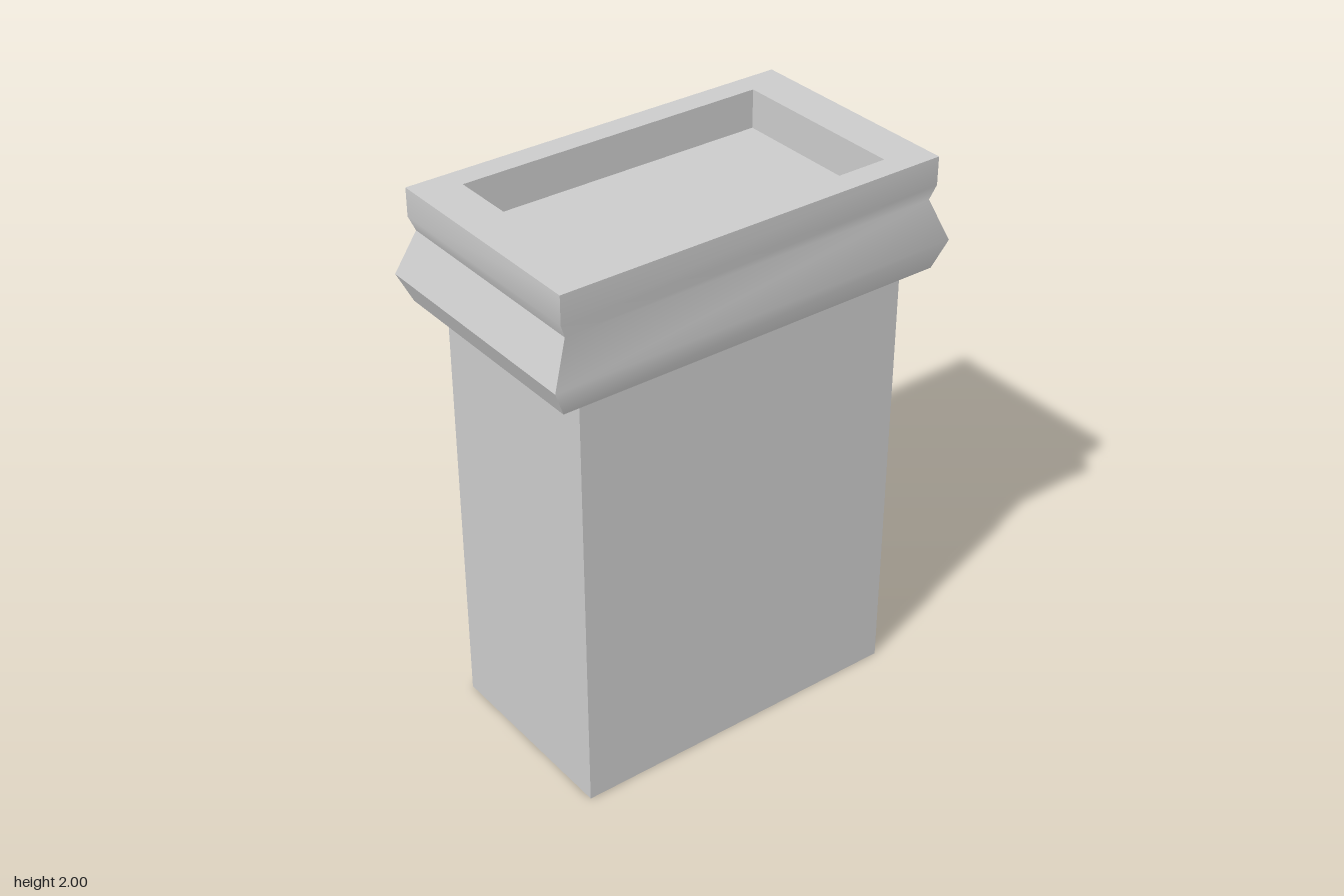
import * as THREE from 'three';
import { toCreasedNormals } from 'three/addons/utils/BufferGeometryUtils.js';

const material = new THREE.MeshStandardMaterial({ color: 0xcccccc, side: THREE.DoubleSide });

// Skin a stack of rectangular rings, each [half width, half depth, height].
function rectLoft(name, rings) {
  const corners = [[1, 1], [1, -1], [-1, -1], [-1, 1]];
  const positions = [];
  const index = [];
  rings.forEach(([hx, hz, y], r) => {
    corners.forEach(([sx, sz], c) => {
      positions.push(sx * hx, y, sz * hz);
      if (r === 0) return;
      const next = (c + 1) % 4;
      const a = (r - 1) * 4 + c, b = (r - 1) * 4 + next;
      const d = r * 4 + c, e = r * 4 + next;
      index.push(a, b, e, a, e, d);
    });
  });
  const geometry = new THREE.BufferGeometry();
  geometry.setAttribute('position', new THREE.Float32BufferAttribute(positions, 3));
  geometry.setIndex(index);
  // Shallow bends stay smooth, steep ones get a hard edge
  const mesh = new THREE.Mesh(toCreasedNormals(geometry, Math.PI / 6), material);
  mesh.name = name;
  return mesh;
}

export function createModel() {
  const group = new THREE.Group();
  group.name = 'pedestal';

  // Plain shaft, open at the bottom
  group.add(rectLoft('shaft', [
    [0.635, 0.365, 0],
    [0.635, 0.365, 1.58],
  ]));

  // Moulded cap: underside, bulge, neck and upper band
  group.add(rectLoft('capMoulding', [
    [0.635, 0.365, 1.58],
    [0.725, 0.415, 1.6],
    [0.77, 0.443, 1.7],
    [0.705, 0.405, 1.85],
    [0.725, 0.416, 1.9],
    [0.725, 0.416, 2],
  ]));

  // Flat rim and the walls of the sunken tray
  group.add(rectLoft('rimAndTrayWalls', [
    [0.725, 0.416, 2],
    [0.573, 0.328, 2],
    [0.573, 0.328, 1.86],
  ]));

  // Tray floor
  const floor = new THREE.Mesh(new THREE.PlaneGeometry(1.146, 0.656).rotateX(-Math.PI / 2), material);
  floor.name = 'trayFloor';
  floor.position.y = 1.86;
  group.add(floor);

  return group;
}
